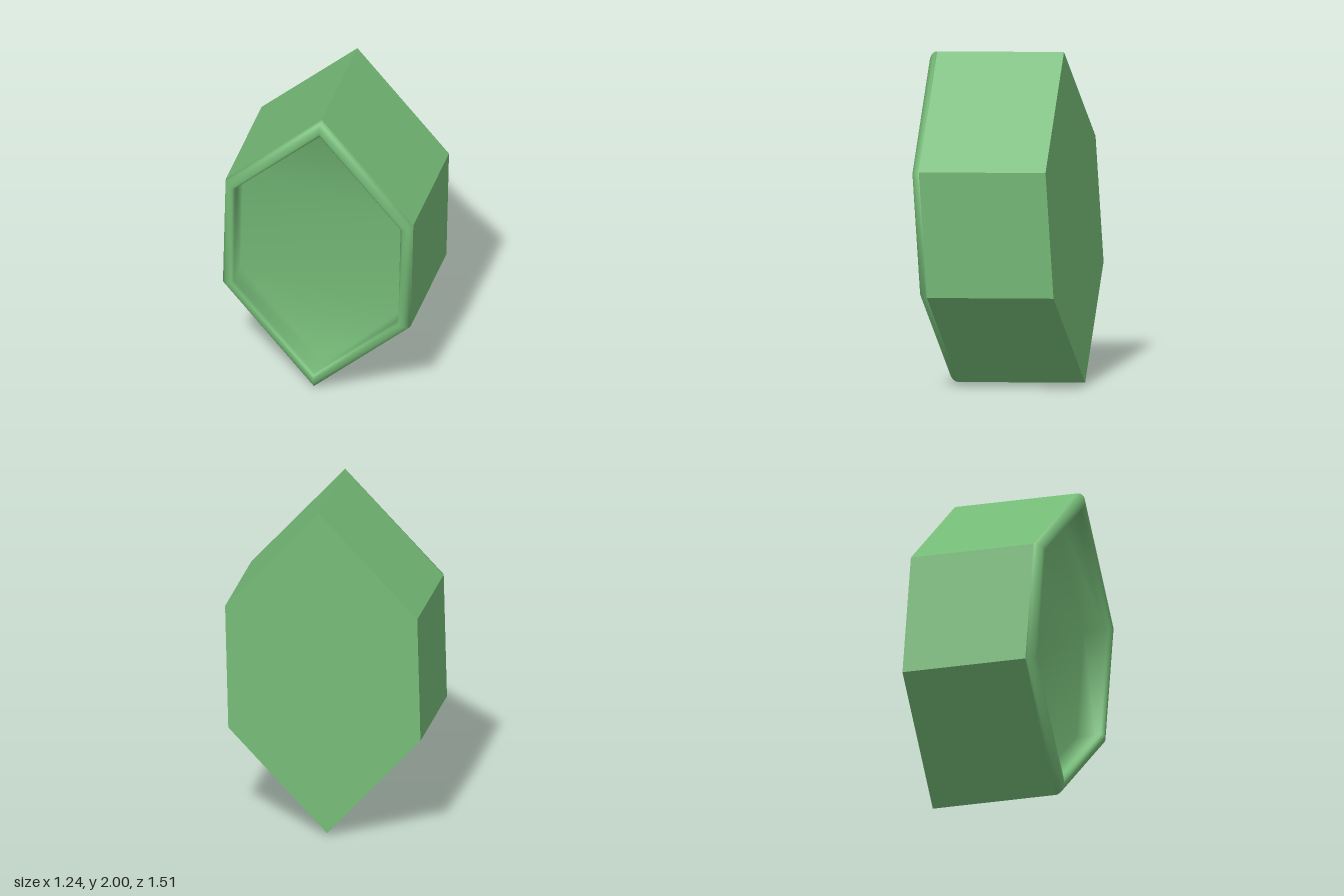
import * as THREE from 'three';

// Slanted six-sided case lying on its side, with a recessed face to the front left
const CENTRE = new THREE.Vector3(0.332, 1.009, -0.206); // middle of the closed end
const ACROSS = new THREE.Vector3(0.274, -0.024, 0.524); // to the middle of a short side
const LONG = new THREE.Vector3(-0.028, 0.991, 0.062);   // to a pointed corner
const AXIS = new THREE.Vector3(-0.642, -0.015, 0.405);  // closed end to rim
const CAP = [0, 1, 5, 1, 2, 4, 1, 4, 5, 2, 3, 4];       // triangles filling a hexagon

// Six corner points, every side moved in by the same inset, at a distance along the axis
function ring([inset, along]) {
  const u = 1 - inset / 0.593;
  const tip = 1 - inset / 0.69;
  const v = tip - 0.62 * u;
  return [[0, tip], [u, v], [u, -v], [0, -tip], [-u, -v], [-u, v]].map(([a, b]) =>
    CENTRE.clone().addScaledVector(ACROSS, a).addScaledVector(LONG, b).addScaledVector(AXIS, along));
}

// Joins hexagonal rings into a skin, closed by a cap at its first or last ring
function skin(profile, capAtStart, smooth) {
  const last = (profile.length - 1) * 6;
  const index = capAtStart ? [...CAP] : CAP.map((i) => last + i).reverse();
  for (let r = 0; r < last; r += 6) {
    for (let i = 0; i < 6; i++) {
      const a = r + i, b = r + (i + 1) % 6;
      index.push(a, a + 6, b, a + 6, b + 6, b);
    }
  }
  let geometry = new THREE.BufferGeometry().setFromPoints(profile.flatMap(ring));
  geometry.setIndex(index);
  if (!smooth) geometry = geometry.toNonIndexed();
  geometry.computeVertexNormals();
  return geometry;
}

export function createModel() {
  const group = new THREE.Group();
  group.name = 'hexagonalCase';
  const material = new THREE.MeshStandardMaterial({ color: 0x74b976, side: THREE.DoubleSide });
  const add = (name, geometry) => {
    const mesh = new THREE.Mesh(geometry, material);
    mesh.name = name;
    group.add(mesh);
  };

  // Closed end and flat outer walls
  add('outerShell', skin([[0, 0], [0, 1]], true, false));

  // Rounded lip: outer quarter round, then a tighter inner one
  const inside = [];
  for (let i = 0; i <= 6; i++) {
    const a = (i / 6) * Math.PI / 2;
    inside.push([0.05 - 0.05 * Math.cos(a), 1 + 0.066 * Math.sin(a)]);
  }
  for (let i = 1; i <= 4; i++) {
    const a = (i / 4) * Math.PI / 2;
    inside.push([0.05 + 0.022 * Math.sin(a), 1.03 + 0.036 * Math.cos(a)]);
  }
  // Inner walls running down to the softly shaded floor of the recess
  inside.push([0.072, 1], [0.072, 0.84]);
  add('rimAndRecess', skin(inside, false, true));
  return group;
}
